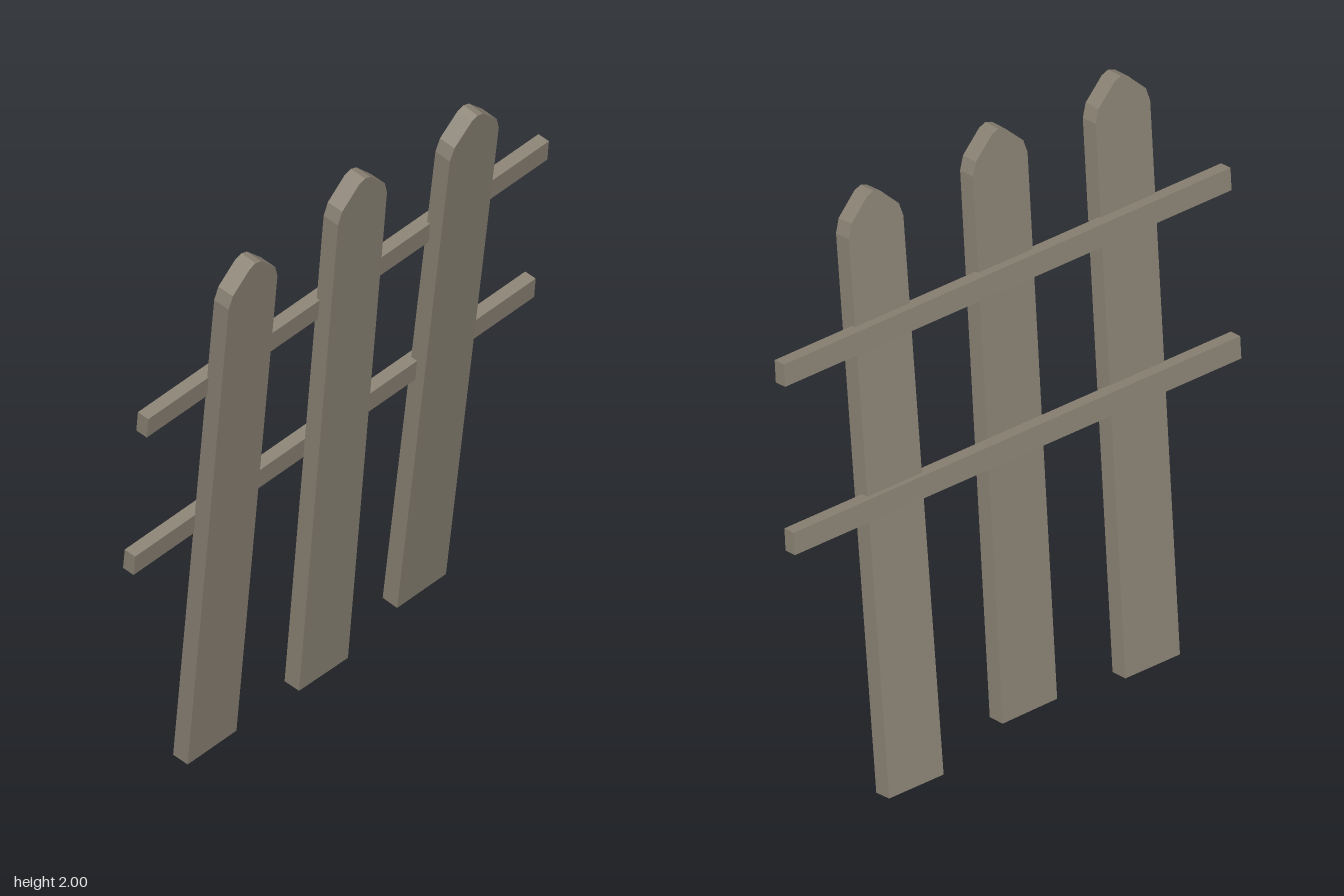
import * as THREE from 'three';

const PICKET = { half: 0.106, length: 1.956, depth: 0.058 };

// Pointed board outline with softened shoulders and tip; origin at the bottom centre
function picketGeometry() {
  const { half, length, depth } = PICKET;
  const side = [[half, 0], [half, length - 0.12], [0.092, length - 0.075], [0.025, length - 0.009]];
  const outline = [...side, [0, length], ...side.map(([x, y]) => [-x, y]).reverse()];
  const shape = new THREE.Shape(outline.map(([x, y]) => new THREE.Vector2(x, y)));
  const geometry = new THREE.ExtrudeGeometry(shape, { depth, bevelEnabled: false });
  return geometry.translate(0, 0, -depth); // front face on z = 0
}

// Turn a mesh so that its length follows `up` and its width stays level in z
function orient(mesh, up) {
  const y = up.clone().normalize();
  const x = new THREE.Vector3(y.y, -y.x, 0).normalize();
  const z = new THREE.Vector3().crossVectors(x, y);
  mesh.quaternion.setFromRotationMatrix(new THREE.Matrix4().makeBasis(x, y, z));
}

export function createModel() {
  const fence = new THREE.Group();
  fence.name = 'fence';
  const wood = new THREE.MeshStandardMaterial({ color: 0x8a8274 });
  wood.name = 'weathered wood';

  // Three leaning pickets: bottom centre of the front face, and lean in x and z per unit of height
  const board = picketGeometry();
  const pickets = [
    ['rightPicket', [-0.415, 0.0125, -0.1], -0.0716, 0.157],
    ['middlePicket', [0.04, 0.0575, -0.075], -0.055, 0.137],
    ['leftPicket', [0.545, 0.0675, -0.15], -0.072, 0.184],
  ];
  for (const [name, base, leanX, leanZ] of pickets) {
    const picket = new THREE.Mesh(board, wood);
    picket.name = name;
    picket.position.set(...base);
    orient(picket, new THREE.Vector3(leanX, 1, leanZ));
    fence.add(picket);
  }

  // Two sloping rails behind the pickets
  const bar = new THREE.BoxGeometry(1.737, 0.074, 0.042);
  const rails = [
    ['upperRail', [-0.021, 1.528, 0.058]],
    ['lowerRail', [0.018, 0.98, -0.031]],
  ];
  for (const [name, centre] of rails) {
    const rail = new THREE.Mesh(bar, wood);
    rail.name = name;
    rail.position.set(...centre);
    orient(rail, new THREE.Vector3(-0.072, 1, 0.155));
    fence.add(rail);
  }
  return fence;
}
